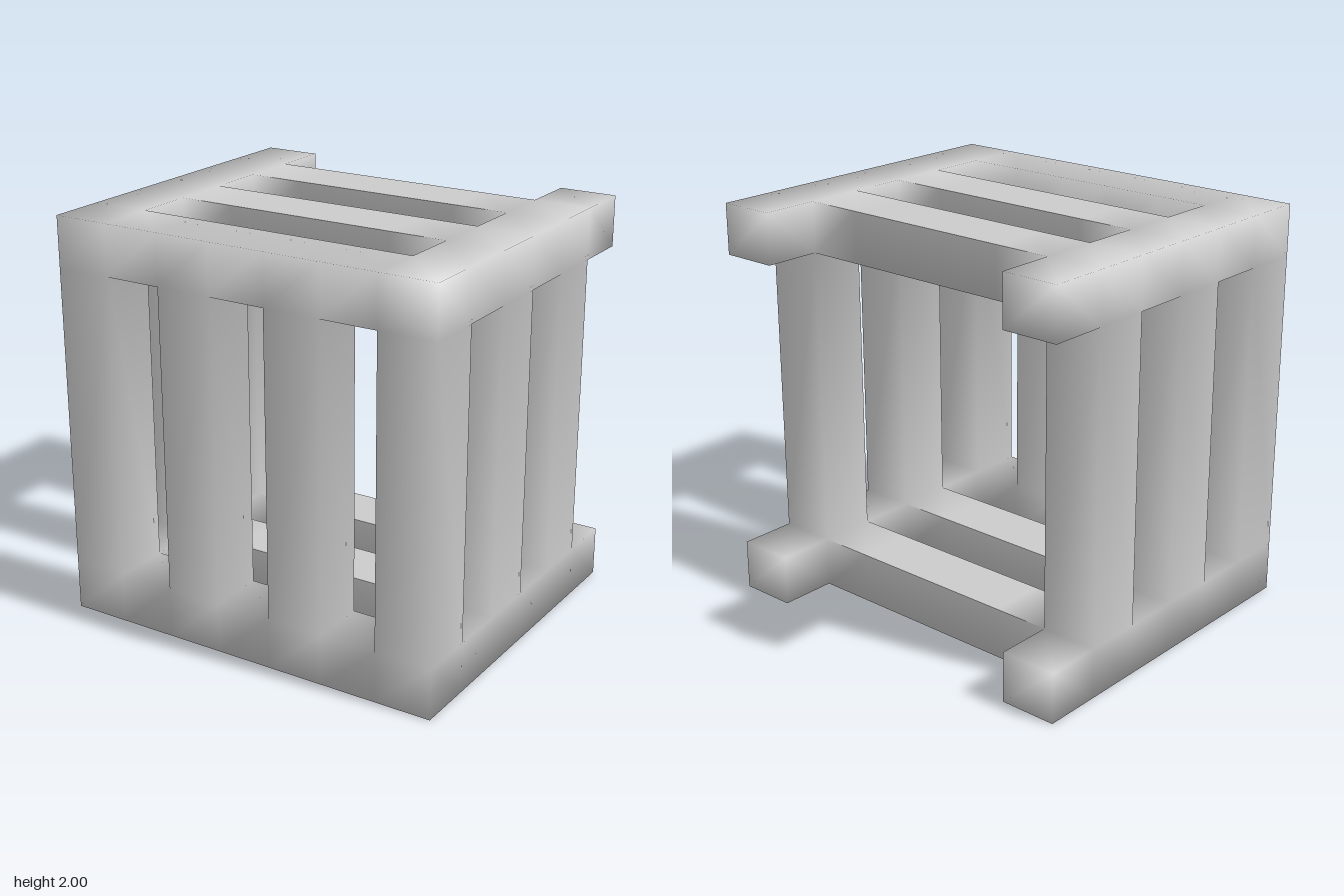
import * as THREE from 'three';

// Grid lines of the cage, shared by every bar
const unit = 2 / 7;
const lines = [
  Array.from({ length: 8 }, (_, i) => -1 + i * unit),
  [0, 0.25, 1.75, 2],
  Array.from({ length: 7 }, (_, i) => -3 * unit + i * unit),
];

// Which part fills a grid cell (z index 5 is the front, 0 the open back)
function partAt(x, y, z) {
  if (x < 0 || x > 6 || y < 0 || y > 2 || z < 0 || z > 5) return null;
  const side = x === 0 || x === 6;
  const row = z % 2 === 1;
  if (y === 1) {
    if (z === 5 && x % 2 === 0) return side ? 'cornerPost' : 'frontBar';
    return side && row ? 'sideBar' : null;
  }
  const level = y === 0 ? 'bottom' : 'top';
  if (side) return level + (x === 0 ? 'RightRail' : 'LeftRail');
  return row ? level + 'CrossBars' : null;
}

export function createModel() {
  const group = new THREE.Group();
  group.name = 'cage';
  const positions = [];
  const ids = new Map();
  const parts = {};

  // Corners are welded for soft shading, except on the flat tops of the inner cross bars
  function corner(p, axis, sign) {
    const flat = axis === 1 && sign === 1 && p[0] > 1 && p[0] < 6 && p[2] < 5;
    const key = p.join() + (flat ? 'flat' : '');
    if (!ids.has(key)) {
      ids.set(key, positions.length / 3);
      positions.push(...p.map((n, a) => lines[a][n]));
    }
    return ids.get(key);
  }

  // Outer skin: one quad wherever a filled cell borders an empty one
  for (let x = 0; x < 7; x++) for (let y = 0; y < 3; y++) for (let z = 0; z < 6; z++) {
    const name = partAt(x, y, z);
    if (!name) continue;
    const faces = (parts[name] ??= []);
    for (let axis = 0; axis < 3; axis++) for (const sign of [-1, 1]) {
      const next = [x, y, z];
      next[axis] += sign;
      if (partAt(...next)) continue;
      const quad = [[0, 0], [1, 0], [1, 1], [0, 1]].map(([u, v]) => {
        const p = [x, y, z];
        p[axis] += sign > 0 ? 1 : 0;
        p[(axis + 1) % 3] += u;
        p[(axis + 2) % 3] += v;
        return corner(p, axis, sign);
      });
      if (sign < 0) quad.reverse();
      const [a, b, c, d] = quad;
      faces.push(a, b, c, a, c, d);
    }
  }

  // Normals are computed over the whole skin, then shared by the parts
  const skin = new THREE.BufferGeometry();
  skin.setAttribute('position', new THREE.Float32BufferAttribute(positions, 3));
  skin.setIndex(Object.values(parts).flat());
  skin.computeVertexNormals();

  const material = new THREE.MeshStandardMaterial({ color: 0xcccccc });
  for (const [name, index] of Object.entries(parts)) {
    const geometry = new THREE.BufferGeometry();
    geometry.setAttribute('position', skin.attributes.position.clone());
    geometry.setAttribute('normal', skin.attributes.normal.clone());
    geometry.setIndex(index);
    const mesh = new THREE.Mesh(geometry, material);
    mesh.name = name;
    group.add(mesh);
  }
  return group;
}
